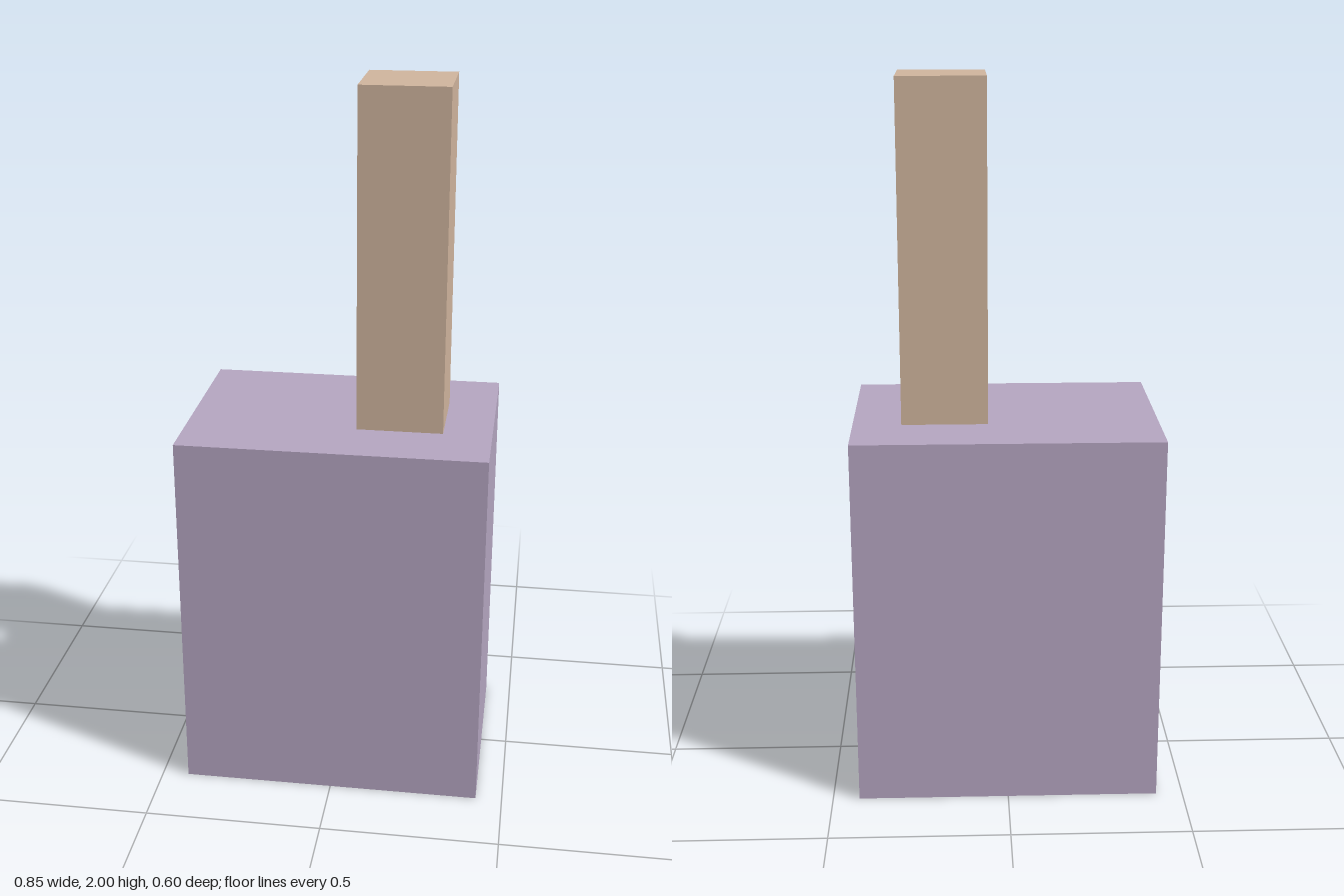
import * as THREE from 'three';

// Box given its size, base height and x centre
function block(name, w, h, d, x, y, color) {
  const mesh = new THREE.Mesh(
    new THREE.BoxGeometry(w, h, d),
    new THREE.MeshStandardMaterial({ color })
  );
  mesh.name = name;
  mesh.position.set(x, y + h / 2, 0);
  return mesh;
}

export function createModel() {
  const group = new THREE.Group();
  const bodyHeight = 1.06;

  // Large block standing on the ground
  group.add(block('body', 0.85, bodyHeight, 0.6, 0, 0, 0xb4a5c0));

  // Square post on top, set off to the left side
  group.add(block('post', 0.24, 2 - bodyHeight, 0.24, 0.17, bodyHeight, 0xcfb49d));

  return group;
}
